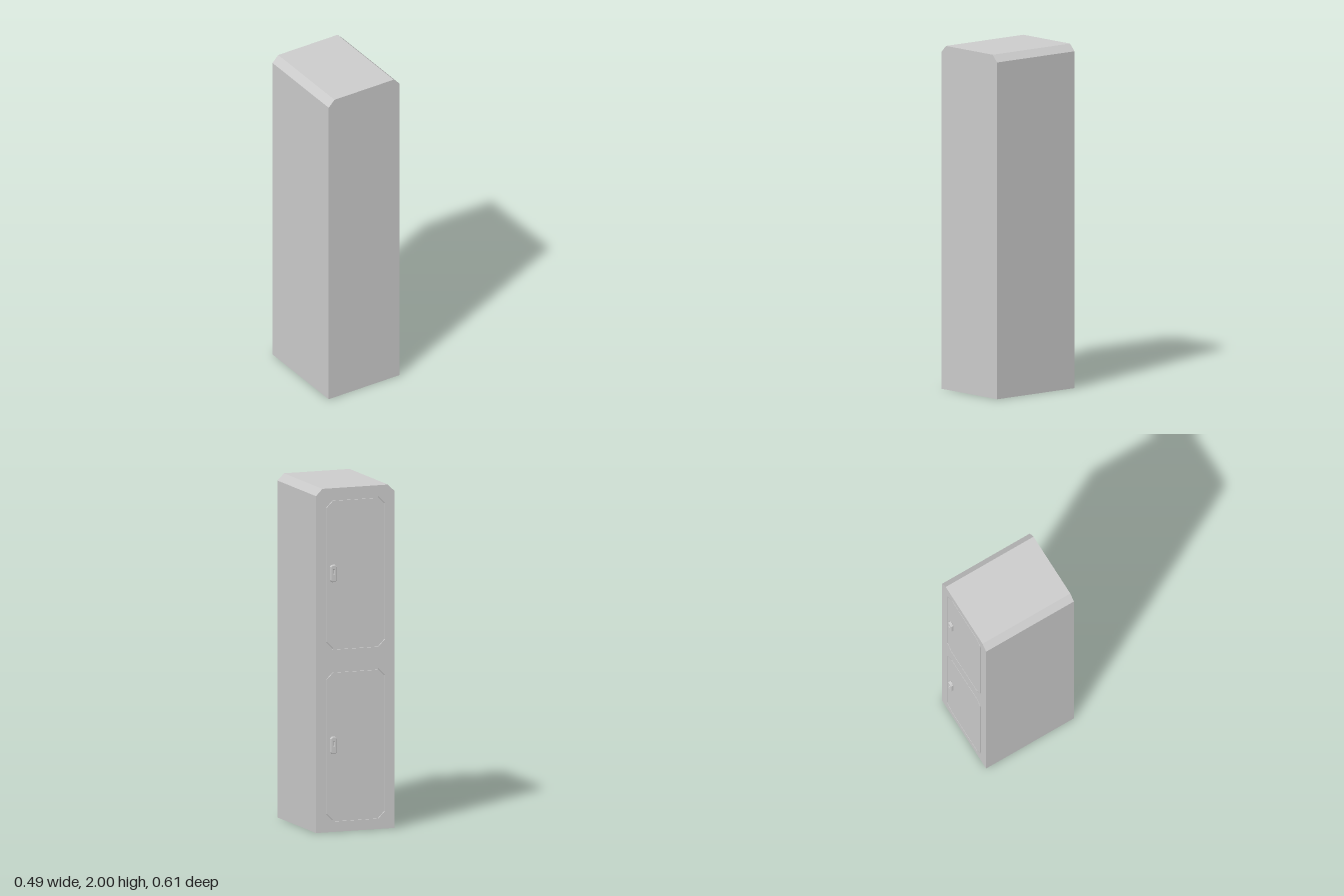
import * as THREE from 'three';

const material = new THREE.MeshStandardMaterial({ color: 0xcccccc, flatShading: true });
const W = 0.243, BACK = -0.288, FRONT = 0.302, GROOVE = 0.008;

// Rectangle outline with all four corners cut off
function cutRect(Type, cx, cy, w, h, c) {
  const x = w / 2, y = h / 2;
  const pts = [[-x + c, -y], [x - c, -y], [x, -y + c], [x, y - c],
    [x - c, y], [-x + c, y], [-x, y - c], [-x, -y + c]];
  return new Type(pts.map(([a, b]) => new THREE.Vector2(cx + a, cy + b)));
}

// Cabinet outline with cut top corners
function cabinetShape() {
  return new THREE.Shape([[-W, 0], [W, 0], [W, 1.96], [W - 0.04, 2], [-W + 0.04, 2], [-W, 1.96]]
    .map(([x, y]) => new THREE.Vector2(x, y)));
}

// Extrudes a shape between two z positions
function slab(name, shape, z0, z1) {
  const geo = new THREE.ExtrudeGeometry(shape, { depth: z1 - z0, bevelEnabled: false });
  geo.translate(0, 0, z0);
  const mesh = new THREE.Mesh(geo, material);
  mesh.name = name;
  return mesh;
}

// Latch plate with bevelled rim, key slot and small grip
function createLatch(x, y) {
  const latch = new THREE.Group();
  latch.name = 'latch';
  const plate = cutRect(THREE.Shape, x, y, 0.032, 0.092, 0.008);
  plate.holes.push(cutRect(THREE.Path, x, y + 0.01, 0.014, 0.032, 0.003));
  const geo = new THREE.ExtrudeGeometry(plate, {
    depth: 0.012, bevelEnabled: true, bevelThickness: 0.003, bevelSize: 0.004, bevelSegments: 1,
  });
  geo.translate(0, 0, BACK - 0.013);
  const mesh = new THREE.Mesh(geo, material);
  mesh.name = 'latchPlate';
  const grip = new THREE.Mesh(new THREE.BoxGeometry(0.018, 0.012, 0.004), material);
  grip.name = 'latchGrip';
  grip.position.set(x, y - 0.028, BACK - 0.0145);
  latch.add(mesh, grip);
  return latch;
}

export function createModel() {
  const model = new THREE.Group();
  model.name = 'locker';
  model.add(slab('cabinet', cabinetShape(), BACK + 0.008, FRONT));

  // Door frame with an opening for each door
  const frame = cabinetShape();
  const doorCentres = [0.497, 1.497];
  for (const y of doorCentres) frame.holes.push(cutRect(THREE.Path, 0, y, 0.368, 0.874, 0.042));
  model.add(slab('doorFrame', frame, BACK, BACK + 0.008));

  // Doors sit in the openings with a thin groove around them
  for (const y of doorCentres) {
    const door = cutRect(THREE.Shape, 0, y, 0.368 - GROOVE * 2, 0.874 - GROOVE * 2, 0.038);
    model.add(slab('door', door, BACK, BACK + 0.008));
    model.add(createLatch(0.138, y + 0.008));
  }
  return model;
}
